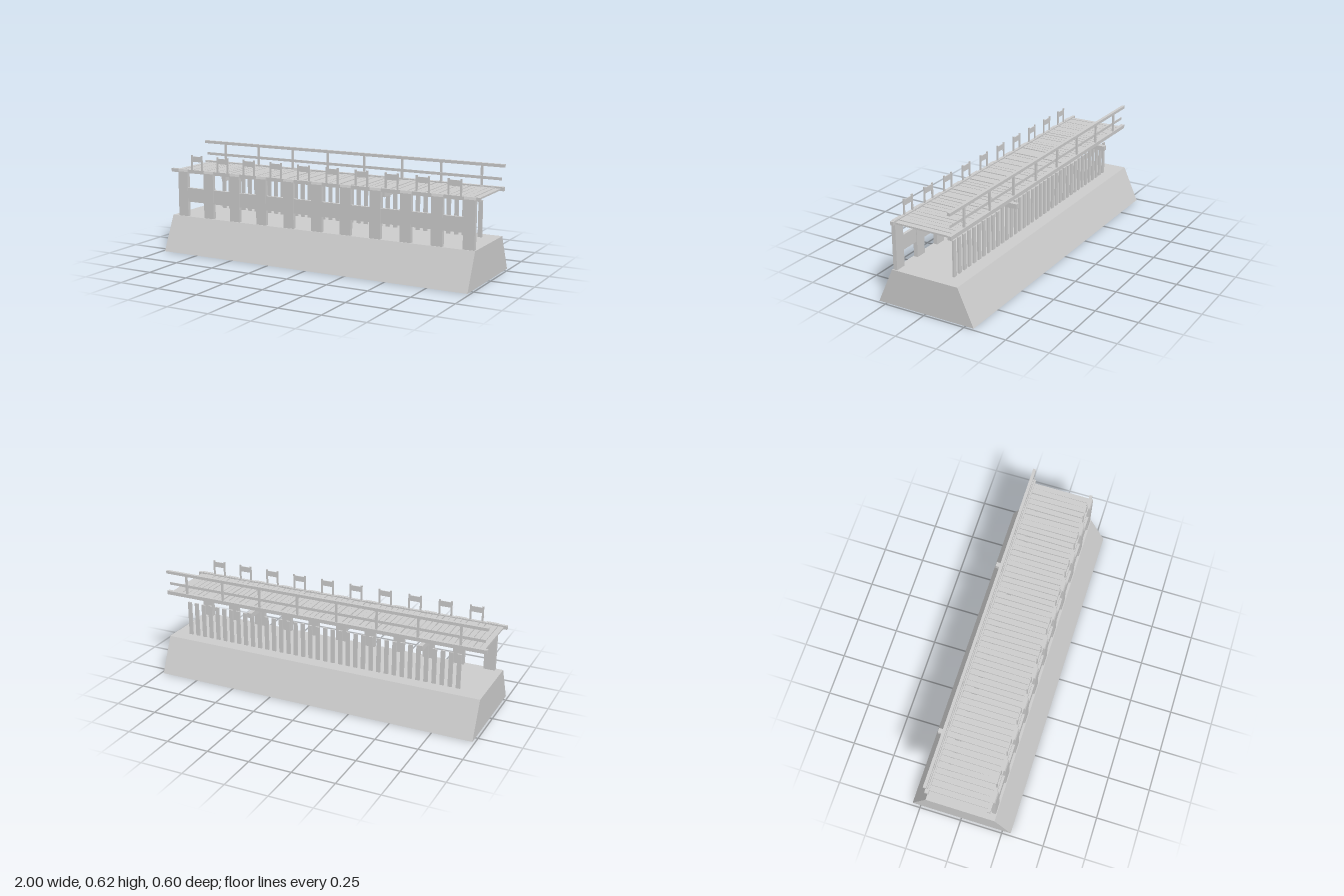
import * as THREE from 'three';

const material = new THREE.MeshStandardMaterial({ color: 0xcccccc, flatShading: true });
const shellMaterial = new THREE.MeshStandardMaterial({ color: 0xcccccc, flatShading: true, side: THREE.DoubleSide });

// Small repeatable variation in -1..1
function makeJitter(seed) {
  let s = seed;
  return () => {
    s = (s * 16807) % 2147483647;
    return (s / 2147483647) * 2 - 1;
  };
}

// Box given by its limits on each axis
function addBox(parent, name, [x0, x1], [y0, y1], [z0, z1]) {
  const mesh = new THREE.Mesh(new THREE.BoxGeometry(x1 - x0, y1 - y0, z1 - z0), material);
  mesh.position.set((x0 + x1) / 2, (y0 + y1) / 2, (z0 + z1) / 2);
  mesh.name = name;
  parent.add(mesh);
  return mesh;
}

function addGroup(parent, name) {
  const group = new THREE.Group();
  group.name = name;
  parent.add(group);
  return group;
}

// Sloped earth bank, hollow and open underneath
function makeBank() {
  const geometry = new THREE.BoxGeometry(1.97, 0.21, 0.6);
  geometry.translate(0, 0.105, 0);
  const p = geometry.attributes.position;
  for (let i = 0; i < p.count; i++) {
    if (p.getY(i) > 0.1) p.setZ(i, Math.sign(p.getZ(i)) * 0.205);
  }
  // Drop the bottom face (fourth group of six indices)
  const index = Array.from(geometry.index.array);
  index.splice(18, 6);
  geometry.setIndex(index);
  geometry.clearGroups();
  geometry.computeVertexNormals();
  const bank = new THREE.Mesh(geometry, shellMaterial);
  bank.name = 'bank';
  return bank;
}

// Wide wall post with a chamfered front top edge
function makeWallPostGeometry(width) {
  const profile = new THREE.Shape();
  profile.moveTo(0.176, 0.207);
  profile.lineTo(0.2, 0.207);
  profile.lineTo(0.2, 0.482);
  profile.lineTo(0.195, 0.496);
  profile.lineTo(0.176, 0.496);
  profile.closePath();
  const geometry = new THREE.ExtrudeGeometry(profile, { depth: width, bevelEnabled: false });
  geometry.rotateY(-Math.PI / 2); // profile x becomes z
  geometry.translate(width / 2, 0, 0);
  return geometry;
}

export function createModel() {
  const model = new THREE.Group();
  model.name = 'rampartWalkway';
  const jitter = makeJitter(4711);

  model.add(makeBank());

  // Front wall: broad posts, with a panel and a raised frame in each gap
  const wall = addGroup(model, 'frontWall');
  const postCount = 11, firstX = -0.91, step = 0.1855, postWidth = 0.067;
  const postGeometry = makeWallPostGeometry(postWidth);
  for (let i = 0; i < postCount; i++) {
    const x = firstX + i * step;
    const post = new THREE.Mesh(postGeometry, material);
    post.name = 'wallPost';
    post.position.x = x;
    wall.add(post);
    if (i === postCount - 1) break;

    const mid = x + step / 2;
    const half = (step - postWidth) / 2 + 0.002;
    addBox(wall, 'wallPanel', [mid - half, mid + half], [0.3, 0.385], [0.18, 0.197]);

    const frame = addGroup(wall, 'raisedFrame');
    for (const side of [-1, 1]) {
      const fx = mid + side * 0.036;
      addBox(frame, 'frameUpright', [fx - 0.005, fx + 0.005], [0.474, 0.585], [0.178, 0.185]);
    }
    addBox(frame, 'frameBar', [mid - 0.036, mid + 0.036], [0.545, 0.577], [0.179, 0.184]);
  }

  // Cross beams under the deck
  const beamXs = [-0.64, 0.415];
  for (const x of beamXs) {
    addBox(model, 'crossBeam', [x - 0.013, x + 0.013], [0.441, 0.47], [-0.227, 0.161]);
  }

  // Row of rear stakes, taller where they carry a beam
  const stakes = addGroup(model, 'rearStakes');
  for (let i = 0; i < 37; i++) {
    const x = -0.83 + i * 0.0476;
    const carriesBeam = beamXs.some((b) => Math.abs(b - x) < 0.024);
    const top = carriesBeam ? 0.474 : 0.418 + 0.003 * jitter();
    addBox(stakes, 'rearStake', [x - 0.012, x + 0.012], [0.207, top], [-0.128, -0.118]);
  }

  // Deck planks, laid slightly unevenly
  const deck = addGroup(model, 'deck');
  const plankCount = 56;
  for (let i = 0; i < plankCount; i++) {
    const x = -0.965 + (i * 1.93) / (plankCount - 1);
    const half = 0.0155 + 0.001 * jitter();
    const y = 0.483 + 0.002 * jitter();
    const plank = addBox(deck, 'plank', [x - half, x + half], [y - 0.005, y + 0.005], [-0.166, 0.176]);
    plank.rotation.y = 0.012 * jitter();
  }

  // Long edge beams
  addBox(model, 'frontEdgeBeam', [-1, 1], [0.474, 0.495], [0.172, 0.19]);
  addBox(model, 'rearEdgeBeam', [-1, 1], [0.473, 0.495], [-0.185, -0.163]);

  // Rear railing
  const railing = addGroup(model, 'railing');
  addBox(railing, 'handrail', [-1, 1], [0.605, 0.622], [-0.183, -0.165]);
  addBox(railing, 'middleRail', [-0.985, 0.985], [0.532, 0.548], [-0.171, -0.167]);
  for (let i = 0; i < 8; i++) {
    const x = -0.85 + i * 0.245;
    addBox(railing, 'railPost', [x - 0.006, x + 0.006], [0.49, 0.607], [-0.181, -0.171]);
  }

  return model;
}
